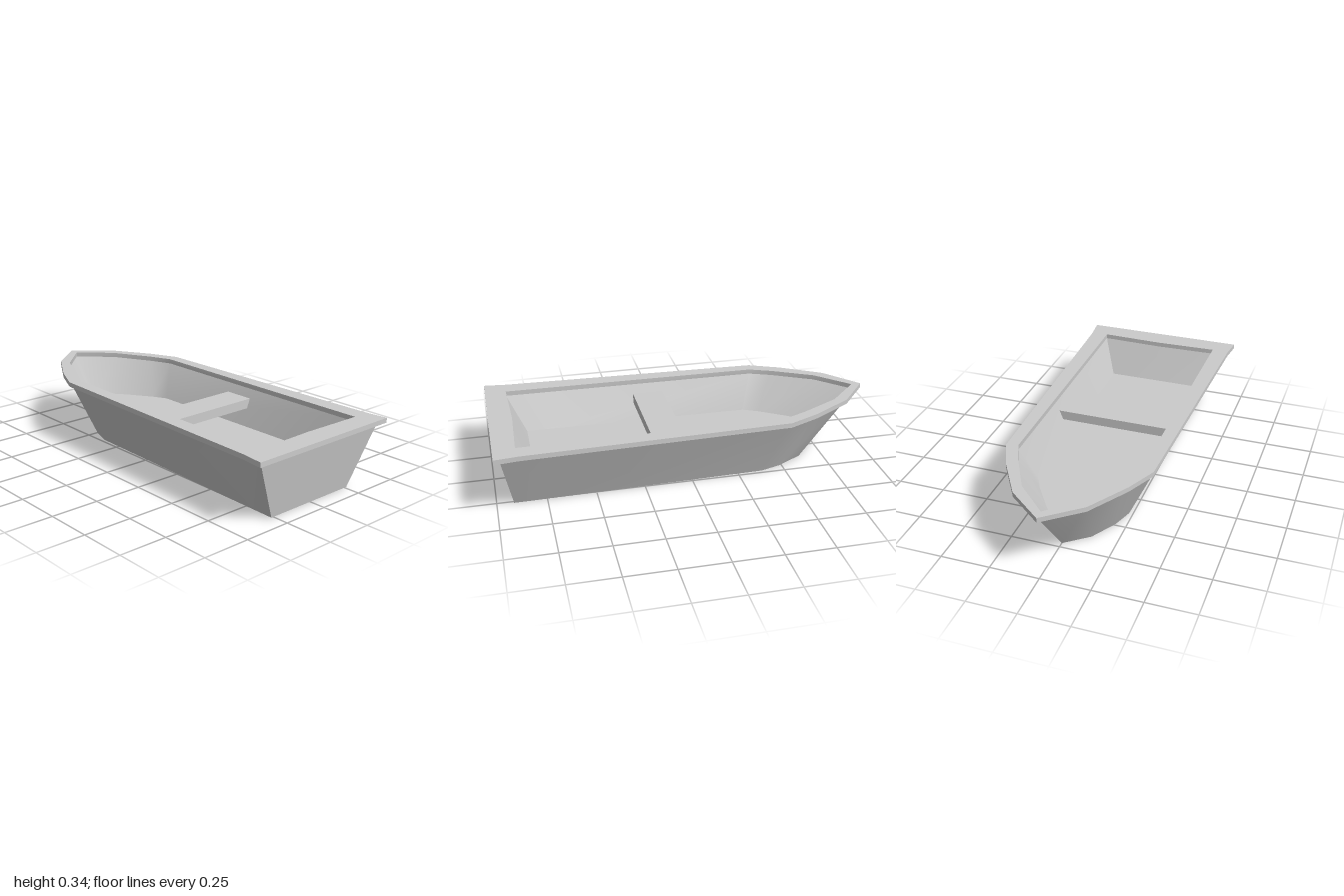
import * as THREE from 'three';
import { toCreasedNormals } from 'three/addons/utils/BufferGeometryUtils.js';

// Half outlines [x, z] from the middle of the stern to the tip of the bow
const KEEL = [[0, 0.915], [0.263, 0.915], [0.261, 0.8], [0.23, -0.38], [0.195, -0.49], [0.118, -0.625], [0, -0.72]];
const HULL_TOP = [[0, 0.97], [0.4, 0.97], [0.396, 0.85], [0.357, -0.475], [0.288, -0.63], [0.168, -0.825], [0, -0.975]];
const RAIL_OUT = [[0, 1], [0.433, 1], [0.42, 0.88], [0.38, -0.48], [0.308, -0.64], [0.18, -0.85], [0, -1]];
const RAIL_IN = [[0, 0.88], [0.33, 0.89], [0.329, 0.8], [0.32, -0.465], [0.272, -0.58], [0.16, -0.79], [0, -0.948]];
const FLOOR = [[0, 0.797], [0.255, 0.797], [0.254, 0.7], [0.245, -0.41], [0.205, -0.49], [0.115, -0.625], [0, -0.772]];

const RAIL_LOW = 0.315, RAIL_TOP = 0.34, FLOOR_Y = 0.13;

// Closed ring at height y, mirrored across x = 0
function ring(half, y) {
  const right = half.map(([x, z]) => new THREE.Vector3(x, y, z));
  const left = half.slice(1, -1).reverse().map(([x, z]) => new THREE.Vector3(-x, y, z));
  return [...right, ...left];
}

// Quad as two triangles, leaving out any that collapse
function quad(out, a, b, c, d) {
  for (const t of [[a, b, c], [a, c, d]]) {
    if (new THREE.Triangle(...t).getArea() > 1e-8) t.forEach((p) => out.push(p));
  }
}

// Walls between successive rings
function loft(out, rings) {
  for (let k = 0; k < rings.length - 1; k++) {
    const a = rings[k], b = rings[k + 1], n = a.length;
    for (let i = 0; i < n; i++) {
      const j = (i + 1) % n;
      quad(out, a[i], a[j], b[j], b[i]);
    }
  }
}

// Flat panel filling a ring, in strips from side to side
function cap(out, r, up) {
  const n = r.length;
  for (let i = 0; i < n / 2; i++) {
    const q = [r[i], r[i + 1], r[n - i - 1], r[(n - i) % n]];
    quad(out, ...(up ? q : q.reverse()));
  }
}

export function createModel() {
  const group = new THREE.Group();
  group.name = 'rowingBoat';
  const material = new THREE.MeshStandardMaterial({ color: 0xcccccc });

  function add(name, geometry) {
    const mesh = new THREE.Mesh(toCreasedNormals(geometry, Math.PI / 6), material);
    mesh.name = name;
    group.add(mesh);
  }
  const fromPoints = (pts) => new THREE.BufferGeometry().setFromPoints(pts);

  // Outer hull with flat bottom
  const hull = [];
  const keel = ring(KEEL, 0), hullTop = ring(HULL_TOP, RAIL_LOW);
  loft(hull, [keel, hullTop]);
  cap(hull, keel, false);
  add('outerHull', fromPoints(hull));

  // Overhanging rim
  const rail = [];
  const railInLow = ring(RAIL_IN, RAIL_LOW);
  loft(rail, [hullTop, ring(RAIL_OUT, RAIL_LOW), ring(RAIL_OUT, RAIL_TOP), ring(RAIL_IN, RAIL_TOP), railInLow]);
  add('gunwale', fromPoints(rail));

  // Inner walls and floor
  const inner = [];
  const floor = ring(FLOOR, FLOOR_Y);
  loft(inner, [railInLow, floor]);
  add('innerWalls', fromPoints(inner));
  const deck = [];
  cap(deck, floor, true);
  add('floor', fromPoints(deck));

  // Bench, its ends sloped along the walls
  const bench = new THREE.BoxGeometry(0.63, 0.05, 0.165);
  const p = bench.attributes.position;
  for (let i = 0; i < p.count; i++) if (p.getY(i) < 0) p.setX(i, p.getX(i) * 0.94);
  bench.translate(0, 0.243, 0.122);
  add('bench', bench);

  return group;
}
